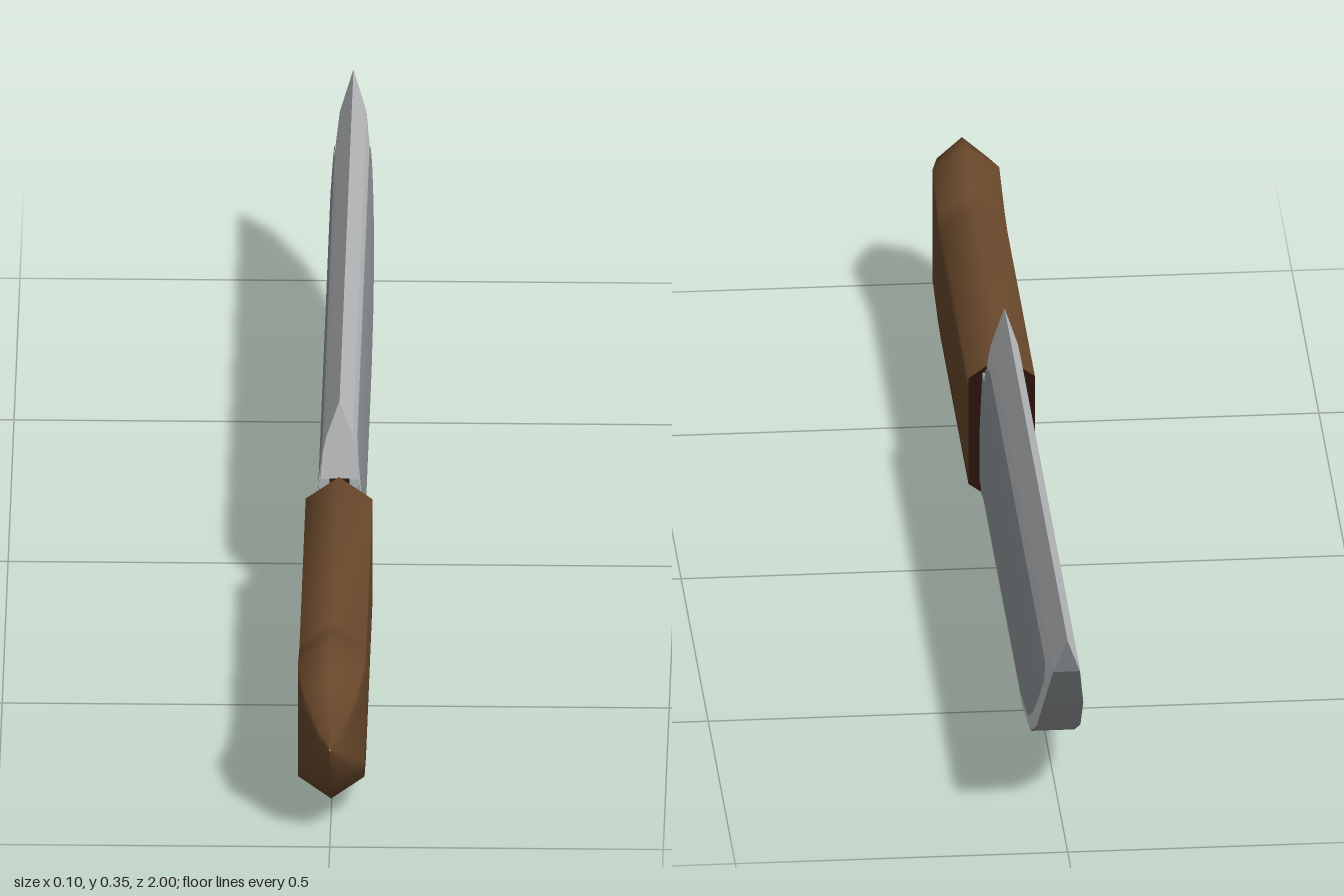
import * as THREE from 'three';

const wood = new THREE.MeshStandardMaterial({ color: 0x6a492c });
wood.name = 'brown wood';
const dark = new THREE.MeshStandardMaterial({ color: 0x2a130d });
dark.name = 'dark wood';
const edge = new THREE.MeshStandardMaterial({ color: 0xc6c8ca });
edge.name = 'bright steel';
const steel = new THREE.MeshStandardMaterial({ color: 0x959b9e });
steel.name = 'grey steel';

// Skin cross-sections listed by rising z, each running clockwise seen from +z
function loft(rings, closed, smooth) {
  const n = rings[0].length, index = [];
  for (let i = 0; i < rings.length - 1; i++) {
    for (let j = 0; j < (closed ? n : n - 1); j++) {
      const a = i * n + j, b = i * n + (j + 1) % n, c = b + n, d = a + n;
      index.push(a, d, b, b, d, c);
    }
  }
  return finish(rings.flat(2), index, smooth);
}

// Fan that closes a convex section, facing +z or -z
function cap(ring, facing) {
  const index = [];
  for (let j = 1; j < ring.length - 1; j++) {
    index.push(0, ...(facing > 0 ? [j + 1, j] : [j, j + 1]));
  }
  return finish(ring.flat(), index, false);
}

function finish(points, index, smooth) {
  let g = new THREE.BufferGeometry();
  g.setAttribute('position', new THREE.Float32BufferAttribute(points, 3));
  g.setIndex(index);
  if (!smooth) g = g.toNonIndexed();
  g.computeVertexNormals();
  return g;
}

const mirror = (ring) => ring.map(([x, y, z]) => [-x, y, z]).reverse();

// Half thickness of the blade at height y
const profile = [[0.04, 0.033], [0.13, 0.033], [0.21, 0.03], [0.265, 0.025], [0.29, 0.02], [0.35, 0]];
function thickness(y) {
  for (let i = 1; i < profile.length; i++) {
    const [y0, w0] = profile[i - 1], [y1, w1] = profile[i];
    if (y <= y1) return w0 + (w1 - w0) * (y - y0) / (y1 - y0);
  }
  return 0;
}

export function createModel() {
  const model = new THREE.Group();
  const add = (name, geometry, material) => {
    const mesh = new THREE.Mesh(geometry, material);
    mesh.name = name;
    model.add(mesh);
  };

  // Handle: hexagonal section with a bulged, rounded butt
  const handle = [
    // z, top, bottom, half width, bevel
    [0.22, 0.247, 0, 0.05, 0.036], [0.73, 0.247, 0, 0.05, 0.036],
    [0.78, 0.255, 0.004, 0.05, 0.036], [0.88, 0.283, 0.024, 0.05, 0.037],
    [0.955, 0.262, 0.066, 0.038, 0.034], [0.985, 0.205, 0.115, 0.016, 0.022],
    [1.0, 0.162, 0.158, 0.001, 0.001],
  ].map(([z, top, bottom, w, b]) => {
    const s = Math.min(0.025, (top - bottom - 2 * b) * 0.3);
    const right = [[w, top - b, z], [w, top - b - s, z], [w, bottom + b + s, z], [w, bottom + b, z]];
    return [[0, top, z], ...right, [0, bottom, z], ...mirror(right)];
  });
  add('handle', loft(handle, true, true), wood);
  add('handleEnd', cap(handle[0], -1), dark);

  // Blade: wedge section cut off by the rising curve of the lower side
  const outline = [[-1, 0.35], [-0.98, 0.29], [-0.92, 0.21], [-0.83, 0.13], [-0.72, 0.07], [-0.57, 0.04], [0.17, 0.04]];
  const sides = outline.map(([z, low]) =>
    [0.35, 0.29, 0.265, 0.21, 0.13, low].map((level) => {
      const y = Math.max(level, low);
      return [thickness(y), y, z];
    }));
  add('bladeRightSide', loft(sides.map(mirror), false, false), edge);
  add('bladeLeftSide', loft(sides, false, false), edge);
  add('bladeSpine', loft(outline.map(([z, y]) => [[thickness(y), y, z], [-thickness(y), y, z]]), false, false), steel);
  const heel = sides[sides.length - 1];
  add('bladeHeel', cap([...heel, ...mirror(heel).slice(0, -1)], 1), edge);

  // Darker panels laid on both blade faces
  const panel = [
    // z, bottom, top
    [-0.915, 0.245, 0.262], [-0.9, 0.228, 0.27], [-0.86, 0.19, 0.27], [-0.79, 0.135, 0.27],
    [-0.7, 0.085, 0.27], [-0.56, 0.057, 0.27], [0.12, 0.057, 0.27], [0.17, 0.044, 0.25],
  ].map(([z, low, high]) => {
    const rows = [];
    for (let i = 0; i <= 8; i++) {
      const y = high + (low - high) * i / 8;
      rows.push([thickness(y) + 0.002, y, z]);
    }
    return rows;
  });
  add('leftPanel', loft(panel, false, false), steel);
  add('rightPanel', loft(panel.map(mirror), false, false), steel);

  // Tang joining blade and handle, with a dark gap on top
  const tang = [0.16, 0.23].map((z) => {
    const right = [0.22, 0.13, 0.04].map((y) => [thickness(y), y, z]);
    return [...right, ...mirror(right)];
  });
  add('tang', loft(tang, true, false), steel);
  const gap = new THREE.BoxGeometry(0.03, 0.004, 0.045);
  gap.translate(0, 0.221, 0.196);
  add('tangGap', gap, dark);

  return model;
}
